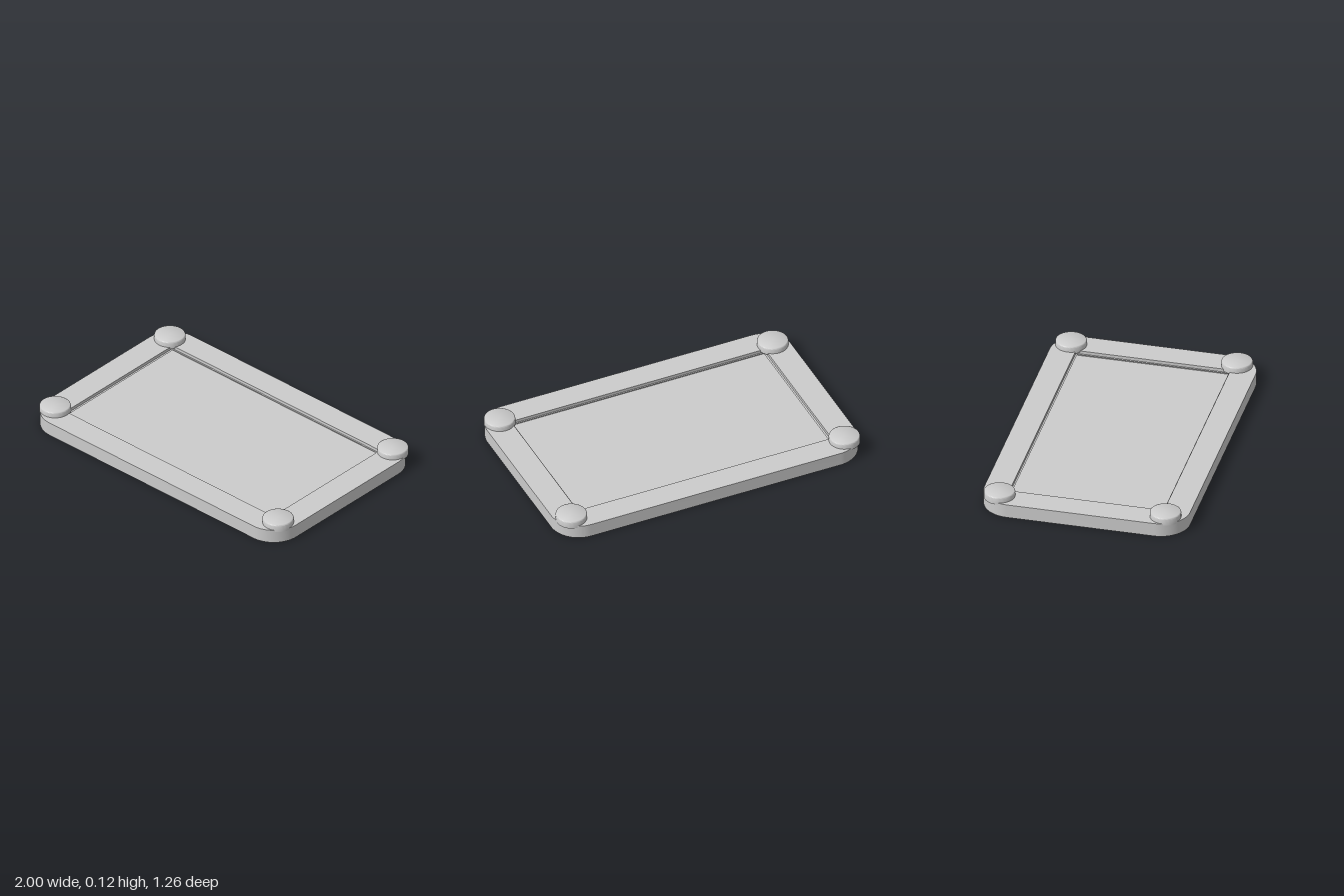
import * as THREE from 'three';
import { toCreasedNormals } from 'three/addons/utils/BufferGeometryUtils.js';

const material = new THREE.MeshStandardMaterial({ color: 0xcccccc });

function roundedRect(w, d, r) {
  const x = w / 2, y = d / 2, s = new THREE.Shape();
  s.moveTo(x, -y + r);
  s.lineTo(x, y - r);
  s.absarc(x - r, y - r, r, 0, Math.PI / 2);
  s.absarc(-x + r, y - r, r, Math.PI / 2, Math.PI);
  s.absarc(-x + r, -y + r, r, Math.PI, Math.PI * 1.5);
  s.absarc(x - r, -y + r, r, Math.PI * 1.5, Math.PI * 2);
  return s;
}

function rectHole(w, d) {
  const x = w / 2, y = d / 2;
  return new THREE.Path([[-x, -y], [-x, y], [x, y], [x, -y]].map(p => new THREE.Vector2(...p)));
}

// Flat outline extruded upward from y0 to y1
function slab(name, shape, y0, y1) {
  let g = new THREE.ExtrudeGeometry(shape, { depth: y1 - y0, bevelEnabled: false, curveSegments: 14 });
  g.rotateX(-Math.PI / 2);
  g.translate(0, y0, 0);
  g = toCreasedNormals(g, 0.5);
  const m = new THREE.Mesh(g, material);
  m.name = name;
  return m;
}

export function createModel() {
  const model = new THREE.Group();
  model.name = 'tray';
  const innerW = 1.67, innerD = 0.95, floorY = 0.055, rimY = 0.087;

  // Raised outer rim around the recess
  const rimShape = roundedRect(2, 1.265, 0.18);
  rimShape.holes.push(rectHole(innerW, innerD));
  model.add(slab('rim', rimShape, 0, rimY));

  // Recessed floor panel
  const floor = new THREE.Mesh(new THREE.BoxGeometry(innerW, floorY, innerD), material);
  floor.position.y = floorY / 2;
  floor.name = 'floor';
  model.add(floor);

  // Narrow step inside the rim
  const ledgeShape = new THREE.Shape(rectHole(innerW, innerD).getPoints());
  ledgeShape.holes.push(rectHole(innerW - 0.025, innerD - 0.02));
  model.add(slab('ledge', ledgeShape, floorY, 0.067));

  // Round corner pads with softened top edges
  const r = 0.094, top = 0.123;
  const profile = [[0, 0.076], [r, 0.076], [r, top - 0.008], [r - 0.002, top - 0.003], [r - 0.007, top], [0, top]];
  const padGeo = toCreasedNormals(
    new THREE.LatheGeometry(profile.map(p => new THREE.Vector2(...p)), 48), 0.7);
  for (const sx of [-1, 1]) {
    for (const z of [-0.52, 0.5]) {
      const pad = new THREE.Mesh(padGeo, material);
      pad.position.set(sx * 0.898, 0, z);
      pad.name = 'cornerPad';
      model.add(pad);
    }
  }
  return model;
}
